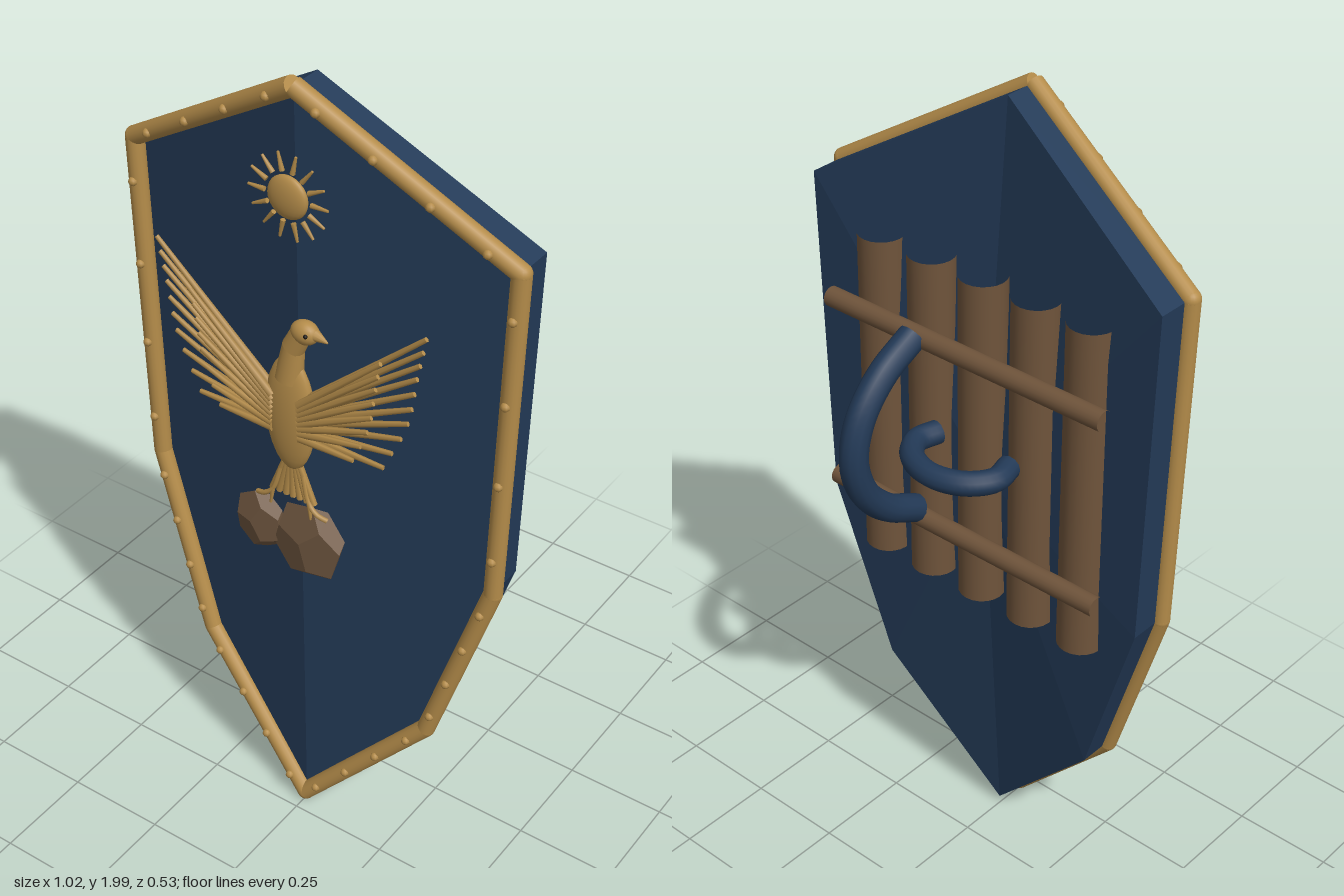
import * as THREE from 'three';

const mat = (name, color, flat = false) => {
  const m = new THREE.MeshStandardMaterial({ color, flatShading: flat });
  m.name = name;
  return m;
};

export function createModel() {
  const model = new THREE.Group();
  model.name = 'shield';
  const blue = mat('navy blue', 0x233a57);
  const gold = mat('old gold', 0xb48c4a);
  const wood = mat('brown wood', 0x6f543b);
  const stone = mat('brown stone', 0x705740, true);
  const dark = mat('dark eye', 0x1c1712);

  const V = (x, y, z) => new THREE.Vector3(x, y, z);
  const group = (name, parent = model) => {
    const g = new THREE.Group();
    g.name = name;
    parent.add(g);
    return g;
  };
  const add = (parent, name, geo, material, pos) => {
    const m = new THREE.Mesh(geo, material);
    m.name = name;
    if (pos) m.position.copy(pos);
    parent.add(m);
    return m;
  };
  // Round bar from a to b, with its own radius at each end
  const bar = (parent, name, a, b, ra, rb, material, open = false, sides = 10) => {
    const d = b.clone().sub(a);
    const m = add(parent, name, new THREE.CylinderGeometry(rb, ra, d.length(), sides, 1, open),
      material, a.clone().lerp(b, 0.5));
    m.quaternion.setFromUnitVectors(V(0, 1, 0), d.normalize());
    return m;
  };
  const ball = (parent, name, pos, r, sx, sy, sz, material) => {
    const m = add(parent, name, new THREE.SphereGeometry(r, 20, 14), material, pos);
    m.scale.set(sx, sy, sz);
    return m;
  };

  // Outline, clockwise from the top point as seen from the front
  const half = [[0, 1.978], [0.488, 1.682], [0.463, 0.85], [0.315, 0.38], [0, 0.028]];
  const outline = [...half, ...half.slice(1, -1).reverse().map(([x, y]) => [-x, y])];
  const n = outline.length;

  // Shield body: a ridged front, a dished back and a straight edge between
  const pos = [];
  const tri = (...p) => p.forEach(v => pos.push(v.x, v.y, v.z));
  const front = outline.map(([x, y]) => V(x, y, 0.205 - 0.19 * Math.abs(x)));
  const back = outline.map(([x, y]) => V(x, y, 0.125 - 0.19 * Math.abs(x)));
  const frontMid = V(0, 1.07, 0.205), backMid = V(0, 1.07, 0.055);
  for (let i = 0; i < n; i++) {
    const j = (i + 1) % n;
    tri(frontMid, front[j], front[i]);
    tri(backMid, back[i], back[j]);
    tri(front[i], front[j], back[j]);
    tri(front[i], back[j], back[i]);
  }
  const bodyGeo = new THREE.BufferGeometry();
  bodyGeo.setAttribute('position', new THREE.Float32BufferAttribute(pos, 3));
  bodyGeo.computeVertexNormals();
  add(model, 'shieldBody', bodyGeo, blue);

  // Rim with rivets along every edge
  const rim = group('rim');
  const rimPts = outline.map(([x, y]) => V(x, y, 0.208 - 0.165 * Math.abs(x)));
  for (let i = 0; i < n; i++) {
    const a = rimPts[i], b = rimPts[(i + 1) % n];
    bar(rim, 'rimEdge', a, b, 0.022, 0.022, gold, false, 16);
    if (i > 0) ball(rim, 'rimCorner', a, 0.022, 1, 1, 1, gold);
    for (let k = 0; k < 4; k++) {
      const p = a.clone().lerp(b, (k + 0.5) / 4);
      p.z += 0.02;
      add(rim, 'rivet', new THREE.SphereGeometry(0.011, 8, 6), gold, p);
    }
  }

  // Sun
  const sun = group('sun');
  sun.position.set(0, 1.74, 0.232);
  ball(sun, 'sunDisc', V(0, 0, 0), 0.05, 1, 1, 0.34, gold);
  for (let i = 0; i < 14; i++) {
    const a = i / 14 * Math.PI * 2, c = Math.cos(a), s = Math.sin(a);
    bar(sun, 'sunRay', V(c * 0.058, s * 0.058, 0), V(c * 0.1, s * 0.1, 0), 0.006, 0.003, gold, false, 6);
  }

  // Bird: body, neck, head
  const bird = group('bird');
  ball(bird, 'birdBody', V(0, 1.21, 0.238), 0.15, 0.43, 1, 0.18, gold);
  bar(bird, 'neckBase', V(-0.002, 1.3, 0.238), V(0.012, 1.39, 0.238), 0.034, 0.026, gold, false, 16).scale.z = 0.8;
  bar(bird, 'neckTop', V(0.011, 1.385, 0.238), V(0.036, 1.435, 0.238), 0.027, 0.025, gold, false, 16).scale.z = 0.85;
  ball(bird, 'head', V(0.042, 1.434, 0.238), 0.031, 1.1, 0.9, 0.8, gold);
  bar(bird, 'beak', V(0.068, 1.436, 0.238), V(0.1, 1.428, 0.238), 0.014, 0.002, gold);
  add(bird, 'eye', new THREE.SphereGeometry(0.005, 8, 6), dark, V(0.058, 1.44, 0.259));

  // Wings: a fan of long feathers behind a fan of short ones
  const tips = new THREE.CatmullRomCurve3([V(0.345, 1.535, 0), V(0.325, 1.43, 0), V(0.305, 1.31, 0), V(0.245, 1.17, 0)]);
  for (const s of [1, -1]) {
    const wing = group(s > 0 ? 'leftWing' : 'rightWing', bird);
    for (const [count, reach, z] of [[10, 1, 0.242], [8, 0.68, 0.258]]) {
      for (let i = 0; i < count; i++) {
        const t = i / (count - 1);
        const root = V(0.035, 1.255 - 0.085 * t, 0);
        const tip = root.clone().lerp(tips.getPoint(t), reach);
        root.x *= s; tip.x *= s;
        root.z = tip.z = z;
        bar(wing, 'feather', root, tip, 0.011, 0.006, gold, false, 6).scale.z = 0.8;
      }
    }
  }

  // Tail and claws
  for (let i = -3; i <= 3; i++) {
    bar(bird, 'tailFeather', V(i * 0.007, 1.07, 0.235), V(i * 0.019, 0.98, 0.235), 0.008, 0.008, gold, false, 6);
  }
  for (const s of [1, -1]) {
    const path = new THREE.CatmullRomCurve3([V(s * 0.03, 1.05, 0.238), V(s * 0.05, 0.985, 0.244),
      V(s * 0.072, 0.965, 0.246), V(s * 0.096, 0.955, 0.24)]);
    add(bird, s > 0 ? 'leftClaw' : 'rightClaw', new THREE.TubeGeometry(path, 10, 0.006, 6), gold);
    bar(bird, 'innerToe', V(s * 0.05, 0.985, 0.244), V(s * 0.055, 0.945, 0.246), 0.006, 0.003, gold, false, 6);
  }

  // Rocks under the claws
  const rocks = group('rocks');
  for (const [x, y, rx, ry, rz, turn] of [[-0.097, 0.868, 0.07, 0.085, 0.026, 0.5], [0.038, 0.865, 0.1, 0.115, 0.032, 0.2]]) {
    const geo = new THREE.DodecahedronGeometry(1, 0).rotateZ(turn).rotateX(0.3);
    add(rocks, 'rock', geo, stone, V(x, y, 0.23)).scale.set(rx, ry, rz);
  }

  // Back: five rounded planks held by two cross bars
  const lining = group('backPlanks');
  for (let i = -2; i <= 2; i++) {
    bar(lining, 'plank', V(i * 0.15, 0.75, 0.051), V(i * 0.15, 1.59, 0.051), 0.056, 0.056, wood, true, 20);
  }
  for (const y of [0.935, 1.42]) {
    bar(lining, 'crossBar', V(-0.395, y, -0.02), V(0.395, y, -0.02), 0.024, 0.024, wood, true, 16);
  }

  // Arm loop and hand grip
  const tube = (name, pts, r) => add(model, name,
    new THREE.TubeGeometry(new THREE.CatmullRomCurve3(pts), 32, r, 12), blue);
  const arc = [[0.23, -0.035], [0.175, -0.135], [0.095, -0.205], [0, -0.23]];
  tube('armLoop', [...arc, ...arc.slice(0, -1).reverse().map(([y, z]) => [-y, z])]
    .map(([y, z]) => V(0.13, 1.195 + y, z)), 0.034);
  const grip = [[0.105, -0.042], [0.116, -0.1], [0.075, -0.155], [0, -0.178]];
  tube('handGrip', [...grip, ...grip.slice(0, -1).reverse().map(([x, z]) => [-x, z])]
    .map(([x, z]) => V(-0.053 + x, 1.212, z)), 0.028);

  return model;
}
